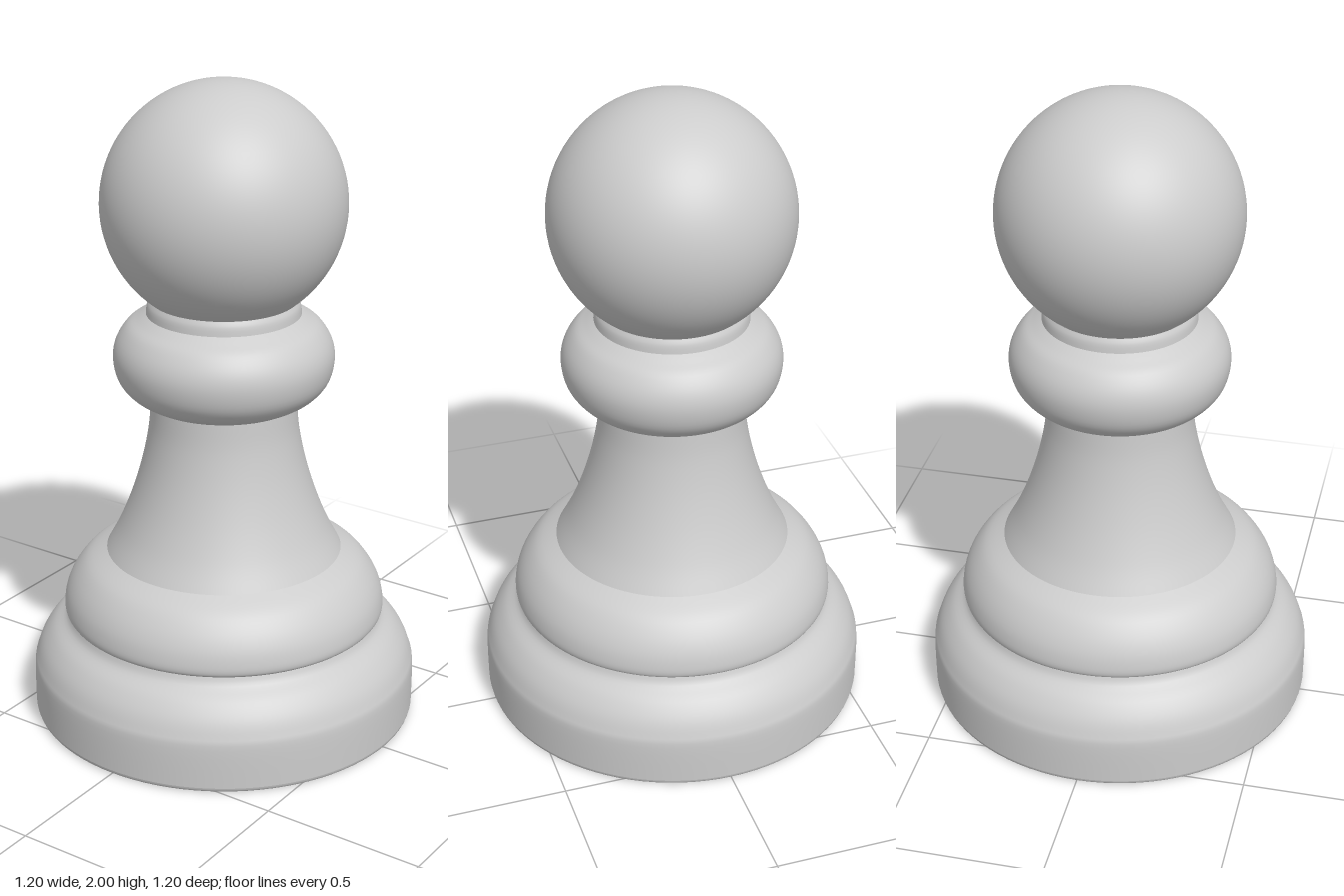
import * as THREE from 'three';

const SEGMENTS = 96;

export function createModel() {
  const group = new THREE.Group();
  const grey = new THREE.MeshStandardMaterial({ color: 0xcccccc });
  grey.name = 'light grey';

  const add = (name, geometry) => {
    const mesh = new THREE.Mesh(geometry, grey);
    mesh.name = name;
    group.add(mesh);
    return mesh;
  };

  // Smooth turned section through [radius, height] points, bottom to top
  const turned = (name, points, steps = 24) => {
    const curve = new THREE.SplineCurve(points.map(([r, y]) => new THREE.Vector2(r, y)));
    return add(name, new THREE.LatheGeometry(curve.getPoints(steps), SEGMENTS));
  };

  // Flat underside and its small bevel
  const underside = add('underside', new THREE.CircleGeometry(0.59, SEGMENTS));
  underside.rotation.x = Math.PI / 2;
  turned('footBevel', [[0.59, 0], [0.597, 0.005], [0.6, 0.015]], 4);

  // Wide foot with a rounded shoulder
  turned('foot', [[0.6, 0.015], [0.6, 0.14], [0.592, 0.18], [0.573, 0.225], [0.54, 0.268], [0.5, 0.3], [0.487, 0.325]]);

  // Second, narrower tier
  turned('upperTier', [[0.487, 0.325], [0.498, 0.335], [0.5, 0.36], [0.49, 0.405], [0.465, 0.453], [0.425, 0.498], [0.365, 0.533]]);

  // Flaring stem
  turned('stem', [[0.365, 0.533], [0.325, 0.61], [0.285, 0.71], [0.252, 0.82], [0.23, 0.93], [0.222, 1.025]]);

  // Rounded collar
  turned('collar', [[0.222, 1.022], [0.245, 1.028], [0.29, 1.056], [0.323, 1.1], [0.335, 1.16], [0.325, 1.212], [0.295, 1.258], [0.26, 1.282], [0.234, 1.298]], 32);

  // Short neck under the head
  turned('neck', [[0.234, 1.298], [0.23, 1.325], [0.219, 1.347], [0.222, 1.36]], 10);

  // Ball head
  add('head', new THREE.SphereGeometry(0.367, SEGMENTS, 48)).position.y = 1.633;

  return group;
}
